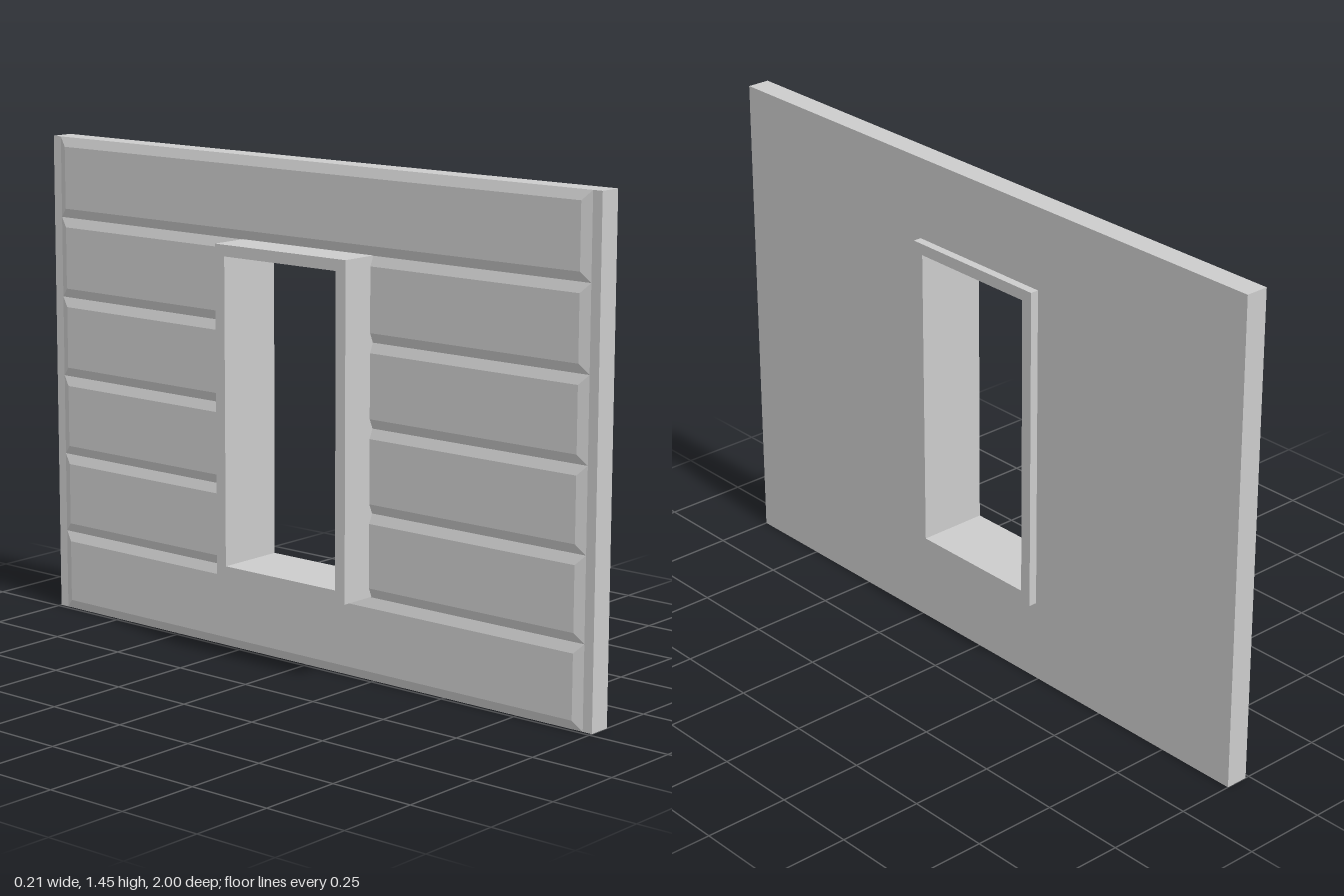
import * as THREE from 'three';

const material = new THREE.MeshStandardMaterial({ color: 0xcccccc, flatShading: true });

const H = 1.445, WALL_BACK = 0.012, WALL_FRONT = 0.08;
const BEVEL = 0.028, PLANKS = 6;

function rect(Type, z, y0, y1) {
  const s = new Type();
  s.moveTo(-z, y0);
  s.lineTo(z, y0);
  s.lineTo(z, y1);
  s.lineTo(-z, y1);
  s.closePath();
  return s;
}

// Rectangular slab with a rectangular hole, its thickness running along x
function slab(name, outer, hole, x0, x1) {
  const shape = rect(THREE.Shape, ...outer);
  shape.holes.push(rect(THREE.Path, ...hole));
  const geo = new THREE.ExtrudeGeometry(shape, { depth: x1 - x0, bevelEnabled: false });
  geo.rotateY(Math.PI / 2).translate(x0, 0, 0);
  const mesh = new THREE.Mesh(geo, material);
  mesh.name = name;
  return mesh;
}

// Board on the -x side with sloped edges; b0 and b1 are the end slopes at z0 and z1
function plank(y0, y1, z0, z1, b0, b1) {
  const base = [[y0, z0], [y0, z1], [y1, z1], [y1, z0]].map(([y, z]) => [WALL_BACK, y, z]);
  const face = [
    [0, y0 + BEVEL, z0 + b0], [0, y0 + BEVEL, z1 - b1],
    [0, y1 - BEVEL, z1 - b1], [0, y1 - BEVEL, z0 + b0],
  ];
  const index = [4, 5, 6, 4, 6, 7];
  for (let i = 0; i < 4; i++) {
    const j = (i + 1) % 4;
    index.push(i, j, j + 4, i, j + 4, i + 4);
  }
  const geo = new THREE.BufferGeometry();
  geo.setAttribute('position', new THREE.Float32BufferAttribute([...base, ...face].flat(), 3));
  geo.setIndex(index);
  const flat = geo.toNonIndexed();
  flat.computeVertexNormals();
  const mesh = new THREE.Mesh(flat, material);
  mesh.name = 'sidingPlank';
  return mesh;
}

export function createModel() {
  const model = new THREE.Group();
  model.name = 'wallWithWindowFrame';

  // Wall panel and the deep frame set through it
  model.add(slab('wallPanel', [1, 0, H], [0.225, 0.26, 1.19], WALL_BACK, WALL_FRONT));
  model.add(slab('windowFrame', [0.24, 0.243, 1.205], [0.205, 0.278, 1.172], -0.105, 0.105));

  // Horizontal siding; middle rows stop inside the frame on each side
  const siding = new THREE.Group();
  siding.name = 'siding';
  const step = H / PLANKS, end = 0.97;
  for (let i = 0; i < PLANKS; i++) {
    const y0 = i * step, y1 = y0 + step;
    if (i === 0 || i === PLANKS - 1) {
      siding.add(plank(y0, y1, -end, end, BEVEL, BEVEL));
    } else {
      siding.add(plank(y0, y1, -end, -0.23, BEVEL, 0));
      siding.add(plank(y0, y1, 0.23, end, 0, BEVEL));
    }
  }
  model.add(siding);
  return model;
}
